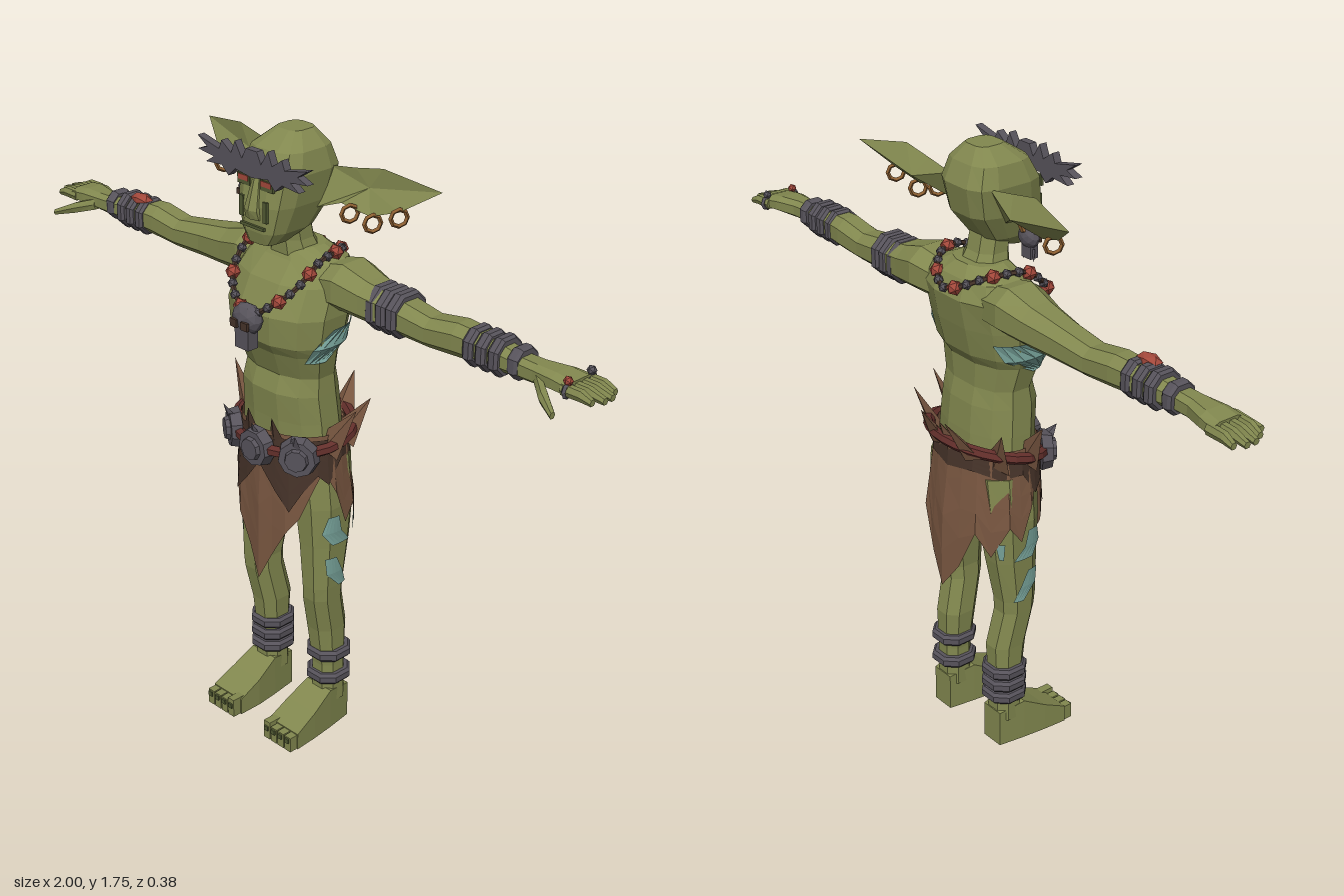
import * as THREE from 'three';

const V = (x, y, z) => new THREE.Vector3(x, y, z);
const mat = (name, color, side = THREE.FrontSide) => {
  const m = new THREE.MeshStandardMaterial({ color, side });
  m.name = name;
  return m;
};

export function createModel() {
  const root = new THREE.Group();
  const skin = mat('skin', 0x82884f), shade = mat('dark skin', 0x515a33), metal = mat('dark metal', 0x57535b);
  const leather = mat('leather', 0x785640, THREE.DoubleSide), dark = mat('dark leather', 0x463329, THREE.DoubleSide);
  const rope = mat('rope', 0x632f2b), red = mat('red', 0xa3483b), paint = mat('body paint', 0x79a59c, THREE.DoubleSide);
  const bronze = mat('bronze', 0x8a5d30);

  // Every geometry is faceted: separate corners per face
  const add = (name, geo, material, x = 0, y = 0, z = 0) => {
    if (geo.index) geo = geo.toNonIndexed();
    geo.computeVertexNormals();
    const m = new THREE.Mesh(geo, material);
    m.name = name;
    m.position.set(x, y, z);
    root.add(m);
    return m;
  };
  const fromTris = (pts) => new THREE.BufferGeometry().setFromPoints(pts);
  // Closed solid: turn the faces outward by the sign of the volume
  const solid = (pts) => {
    let vol = 0;
    for (let i = 0; i < pts.length; i += 3) vol += pts[i].dot(V(0, 0, 0).crossVectors(pts[i + 1], pts[i + 2]));
    if (vol < 0) for (let i = 0; i < pts.length; i += 3) [pts[i + 1], pts[i + 2]] = [pts[i + 2], pts[i + 1]];
    return fromTris(pts);
  };
  // Cross-section [t, centre1, centre2, radius1, radius2] along an axis; p < 1 makes it boxier
  const pw = (v, p) => Math.sign(v) * Math.abs(v) ** p;
  const point = (axis, [t, c1, c2, r1, r2], a, p, s) => {
    const u = c1 + r1 * pw(Math.cos(a), p), v = c2 + r2 * pw(Math.sin(a), p);
    return axis === 'y' ? V(s * u, t, v) : axis === 'x' ? V(s * t, u, v) : V(s * u, v, t);
  };
  const loft = (axis, rings, { n = 10, p = 0.85, s = 1 } = {}) => {
    const R = rings.map((r) => Array.from({ length: n }, (_, i) => point(axis, r, ((i + 0.5) / n) * Math.PI * 2, p, s)));
    const out = [];
    for (let k = 0; k < R.length - 1; k++)
      for (let i = 0; i < n; i++) {
        const j = (i + 1) % n;
        out.push(R[k][i], R[k + 1][i], R[k + 1][j], R[k][i], R[k + 1][j], R[k][j]);
      }
    const a = R[0], b = R[R.length - 1];
    for (let i = 1; i < n - 1; i++) out.push(a[0], a[i], a[i + 1], b[0], b[i + 1], b[i]);
    return solid(out);
  };
  // Thin patch lying on a lofted surface; rows are [height, first angle, last angle]
  const patch = (name, rings, rows, s, p) => {
    const at = (y, a) => {
      const k = rings.findIndex((r, i) => i < rings.length - 1 && (r[0] - y) * (rings[i + 1][0] - y) <= 0);
      const f = (y - rings[k][0]) / (rings[k + 1][0] - rings[k][0]);
      const r = rings[k].map((v, i) => v + (rings[k + 1][i] - v) * f);
      return point('y', [r[0], r[1], r[2], r[3] + 0.004, r[4] + 0.004], a, p, s);
    };
    const out = [], n = 5;
    for (let k = 0; k < rows.length - 1; k++)
      for (let i = 0; i < n; i++) {
        const g = (row, j) => at(row[0], row[1] + ((row[2] - row[1]) * j) / n);
        const [a, b, c, d] = [g(rows[k], i), g(rows[k], i + 1), g(rows[k + 1], i + 1), g(rows[k + 1], i)];
        out.push(...(s > 0 ? [a, b, c, a, c, d] : [a, c, b, a, d, c]));
      }
    add(name, fromTris(out), paint);
  };
  const spike = (name, from, to, r, material) => {
    const d = to.clone().sub(from), c = from.clone().add(to).multiplyScalar(0.5);
    const m = add(name, new THREE.ConeGeometry(r, d.length(), 4).scale(1, 1, 0.4), material, c.x, c.y, c.z);
    m.quaternion.setFromUnitVectors(V(0, 1, 0), d.normalize());
  };
  const band = (name, axis, t, c1, c2, r1, r2, w, s) => add(name, loft(axis, [
    [t - w, c1, c2, r1 * 0.88, r2 * 0.88], [t - w / 2, c1, c2, r1, r2],
    [t + w / 2, c1, c2, r1, r2], [t + w, c1, c2, r1 * 0.88, r2 * 0.88]], { n: 8, p: 0.9, s }), metal);
  const box = (name, w, h, d, material, x, y, z) => add(name, new THREE.BoxGeometry(w, h, d), material, x, y, z);
  const skull = (name, x, y, z, k) => {
    add(name, new THREE.IcosahedronGeometry(0.05 * k, 1).scale(1, 0.85, 0.6), metal, x, y, z);
    box(name + 'Jaw', 0.05 * k, 0.06 * k, 0.035 * k, metal, x, y - 0.05 * k, z + 0.005 * k);
    for (const s of [-1, 1]) box(name + 'Socket', 0.024 * k, 0.022 * k, 0.008, dark, x + s * 0.02 * k, y - 0.01 * k, z + 0.029 * k);
  };

  // Torso and neck
  const torso = [[0.74, 0, -0.01, 0.12, 0.08], [0.85, 0, 0, 0.155, 0.1], [0.97, 0, 0.005, 0.148, 0.1],
    [1.05, 0, 0.012, 0.142, 0.1], [1.1, 0, 0.01, 0.138, 0.086], [1.17, 0, 0.022, 0.155, 0.1],
    [1.2, 0, 0.022, 0.167, 0.12], [1.28, 0, 0.015, 0.176, 0.132], [1.36, 0, -0.012, 0.172, 0.12],
    [1.41, 0, -0.025, 0.15, 0.085], [1.44, 0, -0.02, 0.075, 0.06]];
  add('torso', loft('y', torso, { n: 12 }), skin);
  add('neck', loft('y', [[1.39, 0, -0.015, 0.08, 0.07], [1.46, 0, 0.005, 0.058, 0.052], [1.54, 0, 0.02, 0.055, 0.05]], { n: 8 }), skin);

  // Head and face
  add('head', loft('y', [[1.467, 0, 0.09, 0.045, 0.045], [1.5, 0, 0.057, 0.07, 0.086], [1.57, 0, 0.03, 0.09, 0.114],
    [1.65, 0, 0.015, 0.1, 0.115], [1.705, 0, 0.01, 0.086, 0.088], [1.745, 0, -0.005, 0.042, 0.042]], { n: 12, p: 0.6 }), skin);
  add('nose', loft('y', [[1.535, 0, 0.138, 0.028, 0.014], [1.56, 0, 0.142, 0.026, 0.018], [1.64, 0, 0.125, 0.013, 0.012]], { n: 6 }), skin);
  box('mouth', 0.085, 0.008, 0.008, shade, 0, 1.515, 0.144);
  for (const s of [-1, 1]) {
    box('eye', 0.036, 0.014, 0.008, red, s * 0.042, 1.632, 0.134);
    box('eyeHollow', 0.045, 0.028, 0.008, shade, s * 0.042, 1.628, 0.132);
    box('cheekHollow', 0.014, 0.055, 0.008, shade, s * 0.043, 1.56, 0.14);
  }

  // Shaggy spiked brow
  const half = [[0.02, 1.715], [0.035, 1.685], [0.06, 1.725], [0.075, 1.69], [0.11, 1.715], [0.12, 1.69], [0.2, 1.708],
    [0.165, 1.685], [0.2, 1.672], [0.14, 1.665], [0.17, 1.645], [0.11, 1.65], [0.085, 1.628], [0.06, 1.652], [0, 1.643]];
  const brow = [...half, ...half.slice(0, -1).reverse().map(([x, y]) => [-x, y])].map(([x, y]) => new THREE.Vector2(x, y));
  add('brow', new THREE.ExtrudeGeometry(new THREE.Shape(brow), { depth: 0.022, bevelEnabled: false }), metal, 0, 0, 0.125);

  for (const s of [-1, 1]) {
    // Ear: outline fanned to a hollow in front and a bulge behind
    const rim = [[0.08, 1.65, -0.05], [0.17, 1.665, -0.05], [0.26, 1.683, -0.055], [0.425, 1.655, -0.09], [0.33, 1.592, -0.04],
      [0.25, 1.565, -0.02], [0.17, 1.585, 0], [0.08, 1.55, 0]].map(([x, y, z]) => V(s * x, y, z));
    const ear = [];
    rim.forEach((a, i) => {
      const b = rim[(i + 1) % rim.length];
      ear.push(a, b, V(s * 0.22, 1.625, -0.048), b, a, V(s * 0.2, 1.615, -0.085));
    });
    add('ear', solid(ear), skin);

    // Arm and hand
    add('arm', loft('x', [[0.1, 1.35, -0.03, 0.06, 0.075], [0.18, 1.36, -0.035, 0.068, 0.085], [0.26, 1.345, -0.035, 0.058, 0.07],
      [0.36, 1.335, -0.035, 0.05, 0.056], [0.47, 1.325, -0.033, 0.042, 0.05], [0.56, 1.335, -0.033, 0.047, 0.05],
      [0.66, 1.335, -0.03, 0.042, 0.042], [0.76, 1.33, -0.024, 0.03, 0.034]], { n: 8, s }), skin);
    add('palm', loft('x', [[0.75, 1.33, -0.024, 0.029, 0.033], [0.81, 1.33, -0.025, 0.027, 0.036], [0.87, 1.332, -0.032, 0.024, 0.05],
      [0.92, 1.328, -0.036, 0.02, 0.055]], { n: 8, p: 0.7, s }), skin);
    for (let i = 0; i < 4; i++) {
      const z = -0.078 + i * 0.028;
      add('finger', loft('x', [[0.9, 1.328, z, 0.016, 0.014], [0.955, 1.327, z - 0.002, 0.015, 0.0135],
        [i === 0 || i === 3 ? 0.985 : 1, 1.318, z - 0.004, 0.009, 0.01]], { n: 6, s }), skin);
    }
    add('thumb', loft('x', [[0.82, 1.322, 0, 0.018, 0.014], [0.87, 1.308, 0.038, 0.017, 0.018], [0.925, 1.288, 0.07, 0.009, 0.01]], { n: 6, s }), skin);
    for (const x of [0.615, 0.655, 0.695, 0.75]) band('forearmBand', 'x', x, 1.334, -0.029, x > 0.7 ? 0.044 : 0.054, x > 0.7 ? 0.046 : 0.054, 0.016, s);

    // Leg and foot
    const leg = [[0.86, 0.09, -0.01, 0.075, 0.09], [0.72, 0.108, -0.01, 0.07, 0.085], [0.6, 0.115, -0.006, 0.058, 0.074],
      [0.47, 0.12, 0.004, 0.049, 0.06], [0.43, 0.118, 0.004, 0.049, 0.057], [0.32, 0.112, -0.02, 0.049, 0.057],
      [0.2, 0.115, -0.025, 0.043, 0.046], [0.08, 0.115, -0.025, 0.046, 0.045]];
    add('leg', loft('y', leg, { n: 8, s }), skin);
    const foot = [[-0.07, 0.08, 0.15, 0.11], [0.01, 0.068, 0.162, 0.125], [0.08, 0.06, 0.17, 0.085], [0.152, 0.06, 0.175, 0.05]];
    const r2 = Math.SQRT2;
    add('foot', loft('z', foot.map(([z, a, b, h]) => [z, (a + b) / 2, h / 2, ((b - a) / 2) * r2, (h / 2) * r2]), { n: 4, p: 1, s }), skin);
    for (let i = 0; i < 4; i++) {
      const x = s * (0.076 + i * 0.028), big = i === 0 ? 0.01 : 0;
      box('toe', 0.024, 0.046 + big, 0.05, skin, x, 0.024 + big / 2, 0.153);
      box('toenail', 0.014, 0.014, 0.008, shade, x, 0.036, 0.179);
    }
    for (const y of s > 0 ? [0.235, 0.16] : [0.24, 0.2, 0.16]) band('ankleBand', 'y', y, 0.115, -0.027, 0.062, 0.064, 0.017, s);

    // Painted marks on flank and thigh
    patch('flankPaint', torso, [[1.25, -0.8, 0.05], [1.2, -0.6, 0.45], [1.155, 0.1, 0.65]], s, 0.85);
    patch('thighPaint', leg, [[0.7, 0.1, 0.5], [0.65, 0, 0.75], [0.61, -0.4, 0.3]], s, 0.85);
    patch('thighPaint', leg, [[0.57, 0.1, 0.6], [0.52, -0.2, 0.5], [0.475, -0.6, -0.1]], s, 0.85);
    patch('thighPaint', leg, [[0.67, -1.1, -0.7], [0.62, -1, -0.8]], s, 0.85);
  }

  // Upper arm bands, wrist jewel and finger rings
  for (const x of [0.295, 0.33, 0.365]) band('upperArmBand', 'x', x, 1.337, -0.035, 0.064, 0.067, 0.018, 1);
  add('jewel', new THREE.IcosahedronGeometry(0.04, 0).scale(1, 0.4, 0.6), red, -0.635, 1.382, -0.015);
  for (const z of [-0.08, 0.006]) {
    add('fingerRing', new THREE.TorusGeometry(0.017, 0.006, 4, 8).rotateY(Math.PI / 2), metal, 0.915, 1.328, z);
    add('ringStone', new THREE.IcosahedronGeometry(0.013, 0), z > 0 ? red : metal, 0.915, 1.352, z);
  }

  // Earrings
  for (const [x, y, z] of [[0.2, 1.565, 0], [0.26, 1.55, -0.02], [0.33, 1.578, -0.04], [-0.3, 1.568, -0.03], [-0.17, 1.575, 0]])
    add('earring', new THREE.TorusGeometry(0.022, 0.006, 4, 8).rotateY(1.1), bronze, x, y, z);
  skull('earSkull', -0.165, 1.54, 0.005, 0.7);
  for (const dx of [-0.015, 0.015]) spike('earFringe', V(-0.165 + dx, 1.51, 0.005), V(-0.165 + dx * 1.4, 1.475, 0.005), 0.01, metal);

  // Necklace
  const side = [[0.065, 1.315, 0.15], [0.115, 1.365, 0.105], [0.128, 1.425, 0.03], [0.11, 1.43, -0.06]];
  const loop = new THREE.CatmullRomCurve3([V(0, 1.28, 0.16), ...side.map((q) => V(...q)), V(0, 1.385, -0.138),
    ...side.reverse().map(([x, y, z]) => V(-x, y, z))], true);
  add('necklaceCord', new THREE.TubeGeometry(loop, 40, 0.007, 5, true), dark);
  for (let i = 1; i < 28; i++) {
    const q = loop.getPointAt(i / 28), big = i % 3 === 0;
    add('bead', new THREE.IcosahedronGeometry(big ? 0.021 : 0.014, 0), big ? red : metal, q.x, q.y, q.z);
  }
  skull('necklaceSkull', 0, 1.27, 0.165, 1);

  // Ragged skirt: hem heights by angle from the front, mirrored
  const skirt = (name, material, hem, top, grow) => {
    const cols = [...hem, ...hem.slice(1, -1).reverse().map(([a, y]) => [-a, y])];
    const P = cols.map(([deg, low], i) => Array.from({ length: 5 }, (_, k) => {
      const y = top + ((low - top) * k) / 4, f = Math.min(1, (top - y) / 0.25), a = (deg * Math.PI) / 180;
      const c = Math.cos(a), w = 1 + (i % 2 ? -0.03 : 0.02) * f;
      return V((0.16 + 0.028 * f + grow) * Math.sin(a) * w, y, c * w * (c > 0 ? 0.12 + 0.012 * f + grow : 0.122 + 0.03 * f + grow));
    }));
    const out = [];
    P.forEach((a, i) => {
      const b = P[(i + 1) % P.length];
      for (let k = 0; k < 4; k++) out.push(a[k], a[k + 1], b[k + 1], a[k], b[k + 1], b[k]);
    });
    add(name, fromTris(out), material);
  };
  skirt('skirt', leather, [[0, 0.48], [14, 0.57], [28, 0.65], [42, 0.7], [55, 0.78], [70, 0.84], [84, 0.77], [98, 0.67],
    [112, 0.72], [130, 0.63], [145, 0.7], [162, 0.58], [180, 0.5]], 0.94, 0);
  skirt('overskirt', dark, [[0, 0.84], [18, 0.77], [32, 0.72], [46, 0.78], [62, 0.83], [75, 0.8], [95, 0.87],
    [120, 0.86], [150, 0.88], [180, 0.87]], 0.93, 0.005);

  // Leather points above the belt
  for (const s of [-1, 1]) {
    spike('waistPoint', V(s * 0.15, 0.9, 0.02), V(s * 0.235, 1.03, 0), 0.045, leather);
    spike('waistPoint', V(s * 0.13, 0.9, -0.06), V(s * 0.19, 1.02, -0.1), 0.045, leather);
    spike('waistPoint', V(s * 0.05, 0.9, 0.105), V(s * 0.045, 0.985, 0.125), 0.035, dark);
    spike('waistPoint', V(s * 0.07, 0.92, -0.11), V(s * 0.05, 1.03, -0.18), 0.05, leather);
  }
  spike('waistPoint', V(0, 0.92, -0.11), V(0.01, 1.0, -0.15), 0.05, leather);

  // Rope belt and its metal discs
  const ring = Array.from({ length: 12 }, (_, i) => {
    const a = (i / 12) * Math.PI * 2, c = Math.cos(a);
    return V(0.18 * Math.sin(a), 0.92 - 0.028 * c, c * 0.137);
  });
  add('belt', new THREE.TubeGeometry(new THREE.CatmullRomCurve3(ring, true), 24, 0.016, 6, true), rope);
  for (const i of [-1, 0, 1]) {
    const disc = (r, d, o, m) => {
      const turn = i * 0.55;
      add('beltDisc', new THREE.CylinderGeometry(r * 0.88, r, d, 9).rotateX(Math.PI / 2).rotateY(turn), m,
        i * 0.125 + Math.sin(turn) * o, 0.89, (i ? 0.105 : 0.14) + Math.cos(turn) * o);
    };
    disc(0.058, 0.03, 0, metal);
    disc(0.034, 0.014, 0.02, metal);
    spike('discPoint', V(i * 0.125, 0.93, i ? 0.115 : 0.14), V(i * 0.14, 0.965, i ? 0.13 : 0.155), 0.02, metal);
  }
  return root;
}
